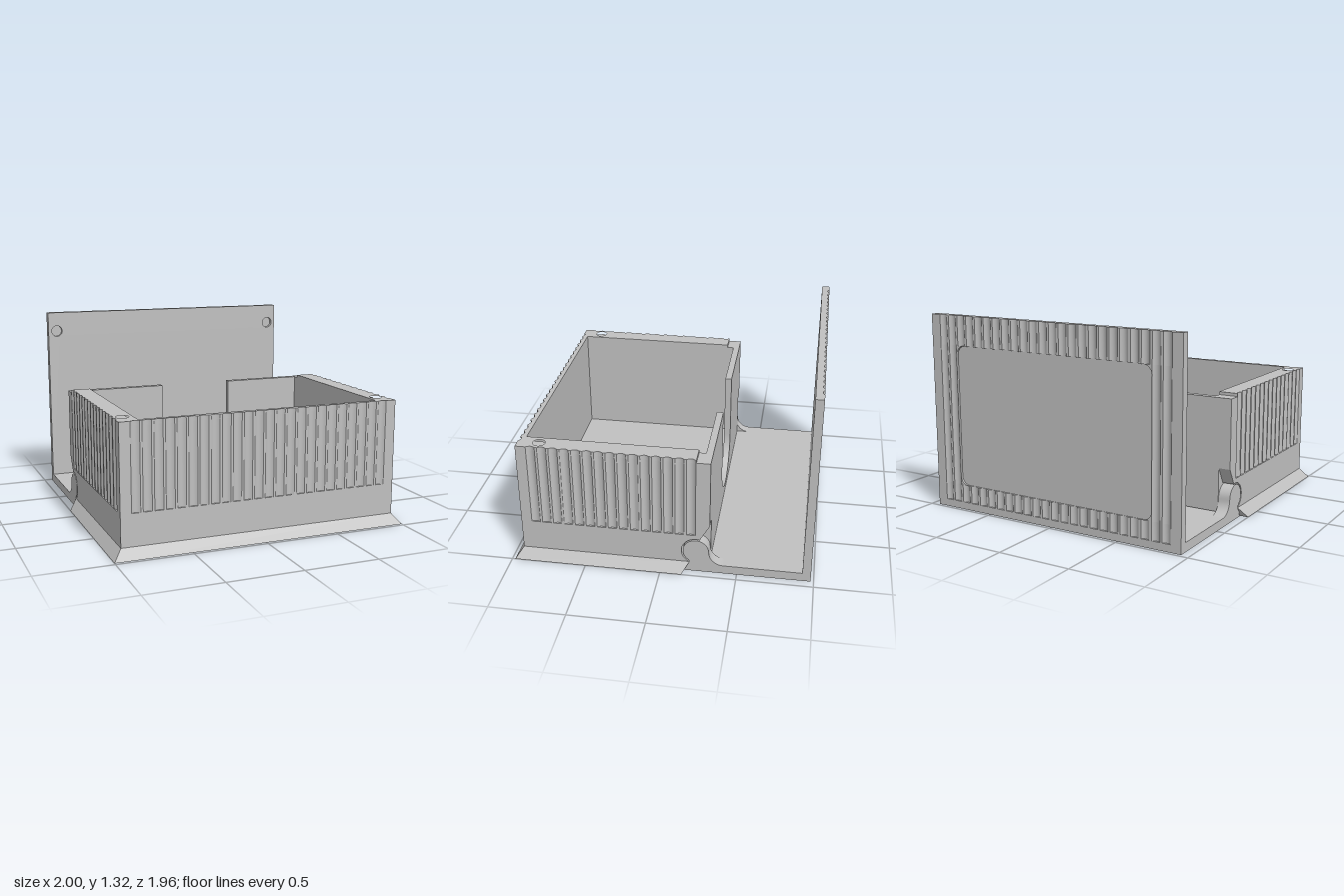
import * as THREE from 'three';
import { toCreasedNormals } from 'three/addons/utils/BufferGeometryUtils.js';

const PITCH = 0.0735, FLUTE = 0.058, DEPTH = 0.013;

export function createModel() {
  const model = new THREE.Group();
  const box = new THREE.Group();
  const lid = new THREE.Group();
  box.name = 'box';
  lid.name = 'lid';
  model.add(box, lid);
  const grey = new THREE.MeshStandardMaterial({ color: 0xc0c0c0 });
  grey.name = 'plain grey';

  function add(parent, name, geometry) {
    const mesh = new THREE.Mesh(toCreasedNormals(geometry, 0.5), grey);
    mesh.name = name;
    parent.add(mesh);
  }
  function block(parent, name, x0, x1, y0, y1, z0, z1) {
    const g = new THREE.BoxGeometry(x1 - x0, y1 - y0, z1 - z0);
    add(parent, name, g.translate((x0 + x1) / 2, (y0 + y1) / 2, (z0 + z1) / 2));
  }
  const toShape = (pts) => new THREE.Shape(pts.map(([a, b]) => new THREE.Vector2(a, b)));
  const extrude = (shape, depth) =>
    new THREE.ExtrudeGeometry(shape, { depth, bevelEnabled: false, curveSegments: 20 });
  // Outline in (x, z), raised from y0 to y1
  const plan = (shape, y0, y1) => extrude(shape, y1 - y0).rotateX(Math.PI / 2).translate(0, y1, 0);
  // Outline in (z, y), spanning x0 to x1
  const side = (shape, x0, x1) => extrude(shape, x1 - x0).rotateY(-Math.PI / 2).translate(x1, 0, 0);
  // Outline in (x, y), spanning z0 to z1
  const front = (shape, z0, z1) => extrude(shape, z1 - z0).translate(0, 0, z0);

  function arc(cx, cy, r, a0, a1, n) {
    const pts = [];
    for (let i = 0; i <= n; i++) {
      const a = THREE.MathUtils.degToRad(a0 + (a1 - a0) * i / n);
      pts.push([cx + r * Math.cos(a), cy + r * Math.sin(a)]);
    }
    return pts;
  }
  // Concave flutes; at(t, d) gives the point t along an edge and d into it
  function flutes(centres, at) {
    const pts = [];
    for (const c of centres)
      for (let i = 0; i <= 6; i++) {
        const s = i / 3 - 1;
        pts.push(at(c + s * FLUTE / 2, DEPTH * (1 - s * s)));
      }
    return pts;
  }
  function hole(shape, x, y) {
    const path = new THREE.Path();
    path.absarc(x, y, 0.04, 0, Math.PI * 2, true);
    shape.holes.push(path);
  }

  const wide = Array.from({ length: 24 }, (_, i) => (i - 11.5) * PITCH);
  const deep = Array.from({ length: 15 }, (_, i) => -0.198 + i * PITCH);

  // Flared base with the floor of the box
  const base = new THREE.BoxGeometry(1.89, 0.07, 2);
  const p = base.attributes.position;
  for (let i = 0; i < p.count; i++) {
    const low = p.getY(i) < 0;
    p.setXYZ(i, Math.sign(p.getX(i)) * (low ? 1 : 0.945), low ? 0 : 0.07,
      p.getZ(i) > 0 ? (low ? 0.98 : 0.93) : (low ? -0.14 : -0.19));
  }
  add(box, 'flaredBase', base);
  block(box, 'floor', -0.865, 0.865, 0.065, 0.1, -0.3, 0.9);

  // Plain lower walls
  add(box, 'lowerWalls', plan(toShape([
    [-0.945, -0.1], [-0.945, 0.93], [0.945, 0.93], [0.945, -0.1],
    [0.815, -0.1], [0.815, 0.89], [-0.815, 0.89], [-0.815, -0.1],
  ]), 0.07, 0.28));

  // Fluted upper walls, with round sockets in the top layer
  const fluted = () => toShape([
    [-0.945, -0.23],
    ...flutes(deep, (t, d) => [-0.945 + d, t]),
    [-0.945, 0.93],
    ...flutes(wide, (t, d) => [t, 0.93 - d]),
    [0.945, 0.93],
    ...flutes([...deep].reverse(), (t, d) => [0.945 - d, t]).map((_, i, all) => {
      // reverse the points of each flute to run towards the back
      const k = Math.floor(i / 7) * 7;
      return all[k + 6 - (i - k)];
    }),
    [0.945, -0.23], [0.815, -0.23], [0.815, 0.89], [-0.815, 0.89], [-0.815, -0.23],
  ]);
  add(box, 'flutedWalls', plan(fluted(), 0.28, 0.815));
  const rim = fluted();
  hole(rim, -0.88, 0.79);
  hole(rim, 0.88, 0.79);
  add(box, 'flutedRim', plan(rim, 0.815, 0.845));

  // Back wall with a rounded notch
  const back = new THREE.Shape();
  back.moveTo(-0.865, 0.065);
  back.lineTo(0.865, 0.065);
  back.lineTo(0.865, 0.825);
  back.lineTo(0.26, 0.825);
  back.lineTo(0.26, 0.37);
  back.absarc(0, 0.37, 0.26, 0, Math.PI, true);
  back.lineTo(-0.26, 0.825);
  back.lineTo(-0.865, 0.825);
  add(box, 'backWall', front(back, -0.32, -0.275));

  // Rear corners of the box, cut away around the hinge
  const corner = [[-0.32, 0.825], [-0.23, 0.825], [-0.23, 0.28], [-0.1, 0.28]];
  const inner = toShape([[-0.1, 0.065], [-0.32, 0.065], ...corner]);
  const outer = toShape([
    [-0.1, 0], [-0.14, 0], [-0.15, 0.03], [-0.175, 0.055],
    ...arc(-0.23, 0.155, 0.095, -62, 105, 14), [-0.32, 0.36], ...corner,
  ]);
  // Hinge knuckle that sweeps down into the lid floor
  const knuckle = toShape([
    [-0.45, 0], [-0.155, 0], [-0.165, 0.03], [-0.185, 0.06],
    ...arc(-0.23, 0.155, 0.085, -60, 180, 20),
    ...arc(-0.41, 0.155, 0.095, 0, -90, 8), [-0.45, 0.06],
  ]);
  for (const s of [-1, 1]) {
    const span = (a, b) => (s > 0 ? [a, b] : [-b, -a]);
    add(box, 'innerCorner', side(inner, ...span(0.815, 0.865)));
    add(box, 'hingeCorner', side(outer, ...span(0.865, 0.945)));
    add(lid, 'hingeKnuckle', side(knuckle, ...span(0.865, 0.945)));
  }

  // Lid: floor strip and upright plate with sockets
  block(lid, 'lidFloor', -0.945, 0.945, 0, 0.06, -0.925, -0.16);
  const face = toShape([[-0.945, 0], [0.945, 0], [0.945, 1.32], [-0.945, 1.32]]);
  hole(face, -0.88, 1.18);
  hole(face, 0.88, 1.18);
  add(lid, 'lidFace', front(face, -0.952, -0.925));
  block(lid, 'lidPlate', -0.945, 0.945, 0, 1.32, -0.965, -0.952);

  // Fluted frame around the sunken panel on the outside of the lid
  const strip = (x0, x1) => toShape([
    [x0, -0.964], [x0, -0.98],
    ...flutes(wide.filter((c) => c > x0 && c < x1), (t, d) => [t, -0.98 + d]),
    [x1, -0.98], [x1, -0.964],
  ]);
  block(lid, 'lidFoot', -0.945, 0.945, 0, 0.05, -0.98, -0.964);
  add(lid, 'lowerFrame', plan(strip(-0.945, 0.945), 0.05, 0.17));
  add(lid, 'upperFrame', plan(strip(-0.945, 0.945), 1.12, 1.32));
  add(lid, 'rightFrame', plan(strip(-0.945, -0.74), 0.17, 1.12));
  add(lid, 'leftFrame', plan(strip(0.74, 0.945), 0.17, 1.12));

  // Rounded corners of the sunken panel
  for (const sx of [-1, 1])
    for (const sy of [-1, 1]) {
      const pts = [[0.74, 0.475], ...arc(0.68, 0.415, 0.06, 0, 90, 8)];
      add(lid, 'panelCorner', front(
        toShape(pts.map(([x, y]) => [sx * x, 0.645 + sy * y])), -0.979, -0.964));
    }
  return model;
}
